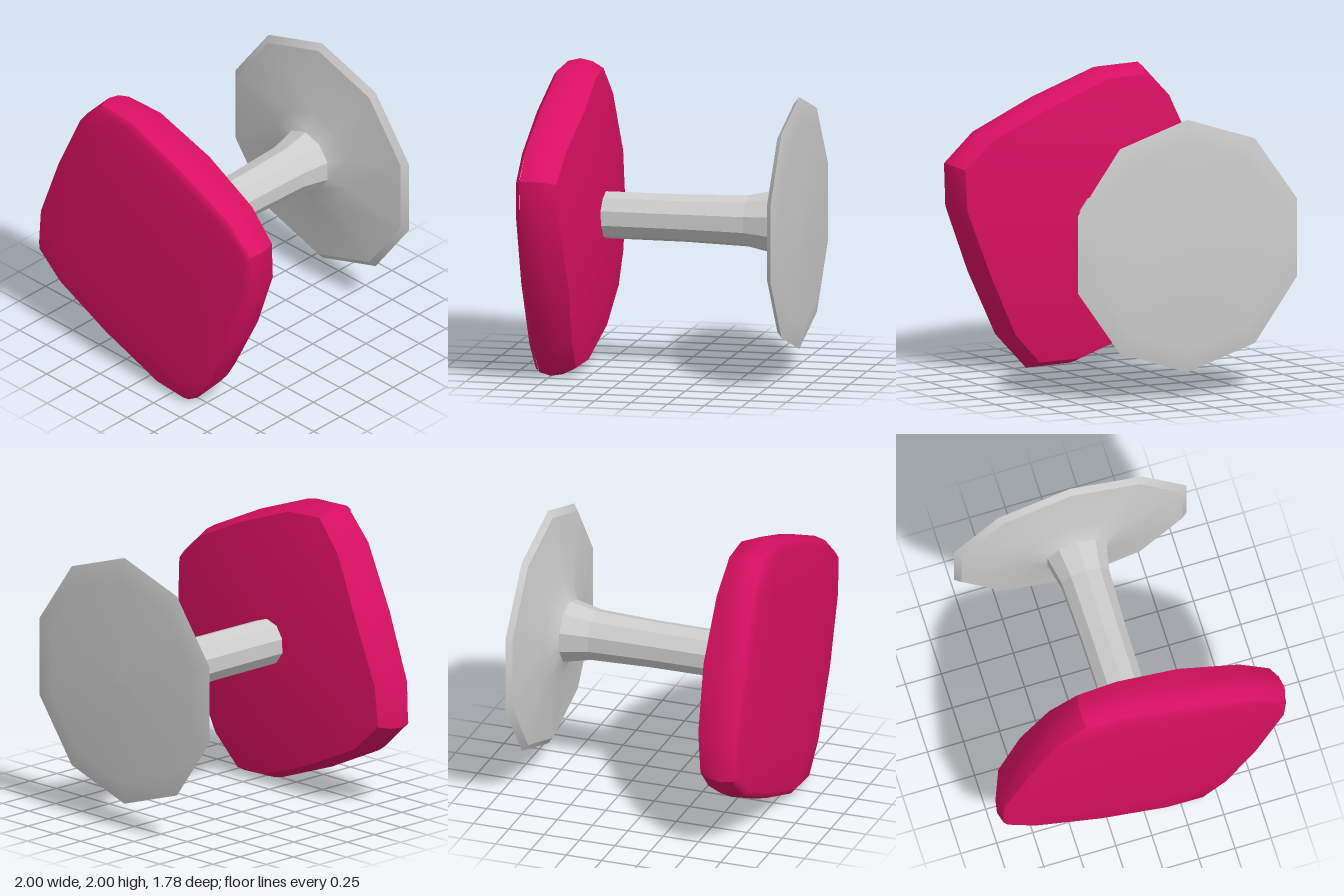
import * as THREE from 'three';

// Grid surface: fn(u, v) gives a point, front side along du x dv
function grid(us, vs, fn) {
  const nu = us.length - 1, nv = vs.length - 1;
  const geo = new THREE.PlaneGeometry(1, 1, nu, nv);
  const pos = geo.attributes.position;
  for (let j = 0; j <= nv; j++) {
    for (let i = 0; i <= nu; i++) {
      pos.setXYZ(j * (nu + 1) + i, ...fn(us[i], vs[nv - j]));
    }
  }
  geo.computeVertexNormals();
  return geo;
}

// Half width of the bulged square at a position t along its side
const bulge = (t) => 0.888 - 0.124 * t ** 4;

export function createModel() {
  const model = new THREE.Group();
  const crimson = new THREE.MeshStandardMaterial({ color: 0xd81060 });
  crimson.name = 'crimson';
  const grey = new THREE.MeshStandardMaterial({ color: 0xcccccc });
  grey.name = 'light grey';

  const add = (parent, geo, mat, name) => {
    const mesh = new THREE.Mesh(geo, mat);
    mesh.name = name;
    parent.add(mesh);
    return mesh;
  };

  // Pillow-shaped head, turned about its axis
  const head = new THREE.Group();
  head.name = 'head';
  head.position.y = 1;
  head.rotation.z = -Math.PI / 8;
  model.add(head);

  const steps = [-1, -0.64, 0, 0.64, 1];
  const fineSteps = [-1, -0.95, -0.64, 0, 0.64, 0.95, 1];
  const backScale = 0.944;
  const backZ = (x, y) => 0.46 + 0.12 * (x * x + y * y);

  // Front face with a softly rounded border
  add(head, grid(fineSteps, fineSteps, (u, v) => {
    const x = 0.98 * u * bulge(v), y = 0.98 * v * bulge(u);
    const edge = Math.max(Math.abs(u), Math.abs(v)) === 1;
    return [x, y, edge ? 0.83 : 0.888 - 0.03 * (x * x + y * y)];
  }), crimson, 'headFront');

  // Domed back face
  add(head, grid(steps, steps, (u, v) => {
    const x = -backScale * u * bulge(v), y = backScale * v * bulge(u);
    return [x, y, backZ(x, y)];
  }), crimson, 'headBack');

  // Four rounded sides: [scale, z] from front to back, the last meets the dome
  const rings = [[0.98, 0.83], [1, 0.75], [0.985, 0.665], [backScale, null]];
  const sideGeo = grid(steps, rings, (t, [scale, z]) => {
    const x = scale * t * bulge(1), y = scale * bulge(t);
    return [x, y, z ?? backZ(x, y)];
  });
  for (let i = 0; i < 4; i++) {
    add(head, sideGeo, crimson, 'headSide').rotation.z = i * Math.PI / 2;
  }

  // Ten-sided stem and base turned around z: profiles of [radius, z]
  const stand = new THREE.Group();
  stand.name = 'stand';
  stand.position.y = 1.028;
  model.add(stand);

  const turned = (profile, name, flat) => {
    let geo = new THREE.LatheGeometry(profile.map(([r, z]) => new THREE.Vector2(r, z)), 10);
    geo.rotateX(Math.PI / 2);
    if (flat) {
      geo = geo.toNonIndexed();
      geo.computeVertexNormals();
    }
    add(stand, geo, grey, name);
  };
  turned([[0, -0.89], [0.7, -0.875], [0.85, -0.845]], 'baseBack', false);
  turned([[0.85, -0.845], [0.805, -0.81]], 'baseRim', false);
  turned([[0.805, -0.81], [0.345, -0.75], [0.215, -0.69]], 'baseFlare', false);
  turned([[0.215, -0.69], [0.173, -0.5], [0.16, -0.08], [0.158, 0.5]], 'stem', true);

  return model;
}
